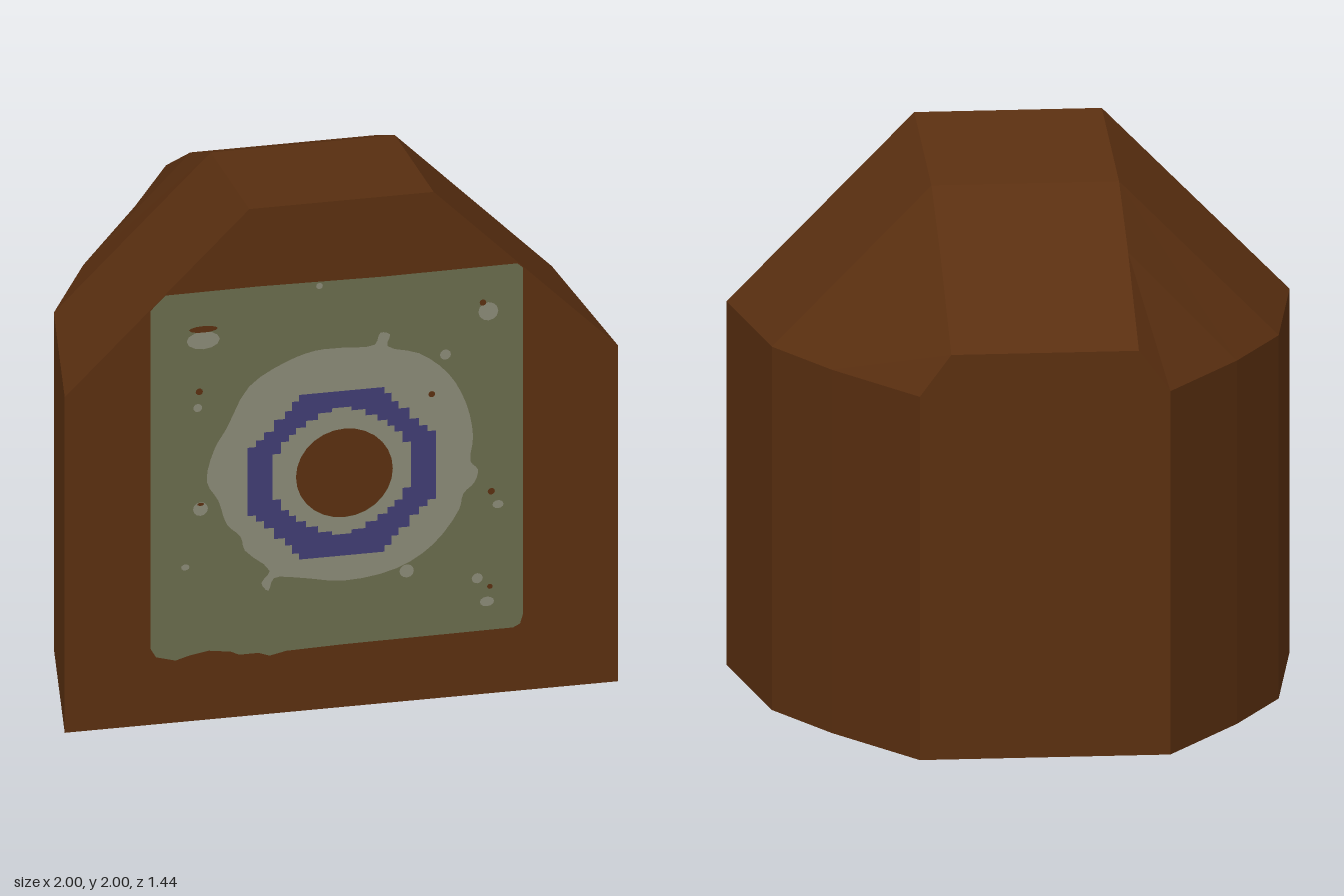
import * as THREE from 'three';

const FRONT = 0.716, CX = 0.01, CY = 0.925;

const vec = (pts) => pts.map(([x, y]) => new THREE.Vector2(x, y));
const flat = (color) => new THREE.MeshStandardMaterial({ color });

// Faceted shell lofted through six-sided sections [z, halfWidth, topHeight]
function shellGeometry(sections) {
  const rings = sections.map(([z, w, top]) => [
    [-w, 0, z], [w, 0, z], [w, 1.325, z], [0.333, top, z], [-0.333, top, z], [-w, 1.325, z]]);
  const pos = [];
  const tri = (...p) => p.forEach((v) => pos.push(...v));
  for (let s = 0; s < rings.length - 1; s++) {
    const a = rings[s], b = rings[s + 1];
    for (let i = 0; i < 6; i++) {
      const j = (i + 1) % 6;
      tri(a[i], b[i], b[j]);
      tri(a[i], b[j], a[j]);
    }
  }
  const first = rings[0], last = rings[rings.length - 1];
  for (let i = 1; i < 5; i++) {
    tri(first[0], first[i], first[i + 1]);
    tri(last[0], last[i + 1], last[i]);
  }
  const g = new THREE.BufferGeometry();
  g.setAttribute('position', new THREE.Float32BufferAttribute(pos, 3));
  g.computeVertexNormals();
  return g;
}

// Stair-stepped closed outline mirrored from one quadrant of corners
function steppedOutline(corners, cx, cy) {
  const q = [];
  corners.forEach(([x, y], i) => {
    q.push([x, y]);
    if (i < corners.length - 1) q.push([x, corners[i + 1][1]]);
  });
  const r = [...q].reverse();
  const m = (list, sx, sy) => list.map(([x, y]) => [cx + sx * x, cy + sy * y]);
  return vec([...m(q, 1, 1), ...m(r, 1, -1), ...m(q, -1, -1), ...m(r, -1, 1)]);
}

function ellipse(x, y, rx, ry = rx, n = 12) {
  return vec(Array.from({ length: n }, (_, i) => {
    const a = (i / n) * Math.PI * 2;
    return [x + rx * Math.cos(a), y + ry * Math.sin(a)];
  }));
}

export function createModel() {
  const brown = flat(0x5a2f10); brown.name = 'brown';
  const olive = flat(0x686a4c); olive.name = 'olive';
  const grey = flat(0x898875); grey.name = 'warmGrey';
  const blue = flat(0x403c72); blue.name = 'indigo';

  const group = new THREE.Group();
  const add = (name, geometry, material) => {
    const mesh = new THREE.Mesh(geometry, material);
    mesh.name = name;
    group.add(mesh);
  };
  // Painted face laid just over the front, optionally with a hole
  const paint = (name, outline, material, layer, hole) => {
    const shape = new THREE.Shape(outline);
    if (hole) shape.holes.push(new THREE.Path(hole));
    add(name, new THREE.ShapeGeometry(shape).translate(0, 0, FRONT + layer * 0.0015), material);
  };

  // Main body, tapering towards the back
  add('body', shellGeometry([
    [FRONT, 1, 2], [0.05, 0.9, 1.9], [-0.3, 0.72, 1.73], [-0.72, 0.445, 1.475]]), brown);

  // Worn square panel with its upper corners cut by the slopes
  const bore = ellipse(CX, CY, 0.175, 0.175, 28);
  paint('panel', vec([
    [-0.69, 0.3], [-0.67, 0.265], [-0.6, 0.245], [-0.55, 0.26], [-0.48, 0.272], [-0.4, 0.26],
    [-0.37, 0.245], [-0.3, 0.245], [-0.26, 0.23], [-0.2, 0.243], [0, 0.248], [0.62, 0.252],
    [0.645, 0.265], [0.655, 0.3], [0.655, 1.67], [0.635, 1.688], [0.14, 1.685],
    [-0.3, 1.692], [-0.635, 1.69], [-0.69, 1.635]]), olive, 1, bore);

  // Ragged halo round the bore
  const halo = new THREE.CatmullRomCurve3([
    [0, 1.42], [0.12, 1.42], [0.14, 1.465], [0.175, 1.455], [0.165, 1.41], [0.28, 1.37],
    [0.385, 1.28], [0.45, 1.155], [0.475, 1.02], [0.465, 0.925], [0.492, 0.89], [0.48, 0.84],
    [0.44, 0.8], [0.425, 0.74], [0.33, 0.61], [0.2, 0.53], [0.01, 0.5], [-0.165, 0.53],
    [-0.245, 0.535], [-0.265, 0.487], [-0.29, 0.52], [-0.26, 0.565], [-0.35, 0.655],
    [-0.365, 0.71], [-0.415, 0.765], [-0.445, 0.86], [-0.487, 0.94], [-0.46, 1.065],
    [-0.415, 1.145], [-0.335, 1.3], [-0.2, 1.385], [-0.095, 1.418],
  ].map(([x, y]) => new THREE.Vector3(x, y, 0)), true).getPoints(96).slice(0, -1);
  paint('halo', vec(halo.map((p) => [p.x, p.y])), grey, 2, bore);

  // Stepped ring
  paint('steppedRing',
    steppedOutline([[0.155, 0.325], [0.18, 0.3], [0.205, 0.265], [0.245, 0.235], [0.28, 0.19],
      [0.31, 0.16], [0.34, 0.135]], 0, CY), blue, 3,
    steppedOutline([[0.035, 0.25], [0.085, 0.235], [0.13, 0.21], [0.165, 0.185], [0.19, 0.16],
      [0.22, 0.135], [0.25, 0.09]], 0, 0.935));

  // Pale spots
  [[-0.5, 1.5, 0.06, 0.035], [0.53, 1.51, 0.036], [0.375, 1.355, 0.02], [-0.52, 1.235, 0.016],
    [0.565, 0.745, 0.02, 0.016], [0.235, 0.515, 0.026], [0.49, 0.46, 0.02], [0.525, 0.365, 0.026, 0.019],
    [-0.565, 0.61, 0.015, 0.012], [-0.51, 0.835, 0.027], [-0.08, 1.672, 0.012], [-0.27, 1.288, 0.01],
  ].forEach((s) => paint('spot', ellipse(...s), grey, 2));

  // Dark nicks in the paint
  [[-0.5, 1.545, 0.052, 0.013], [0.51, 1.548, 0.012], [-0.515, 1.3, 0.013], [0.54, 0.8, 0.013],
    [0.535, 0.425, 0.01], [0.325, 1.205, 0.012], [-0.51, 0.855, 0.012, 0.006],
  ].forEach((s) => paint('nick', ellipse(...s), brown, 4));

  return group;
}
